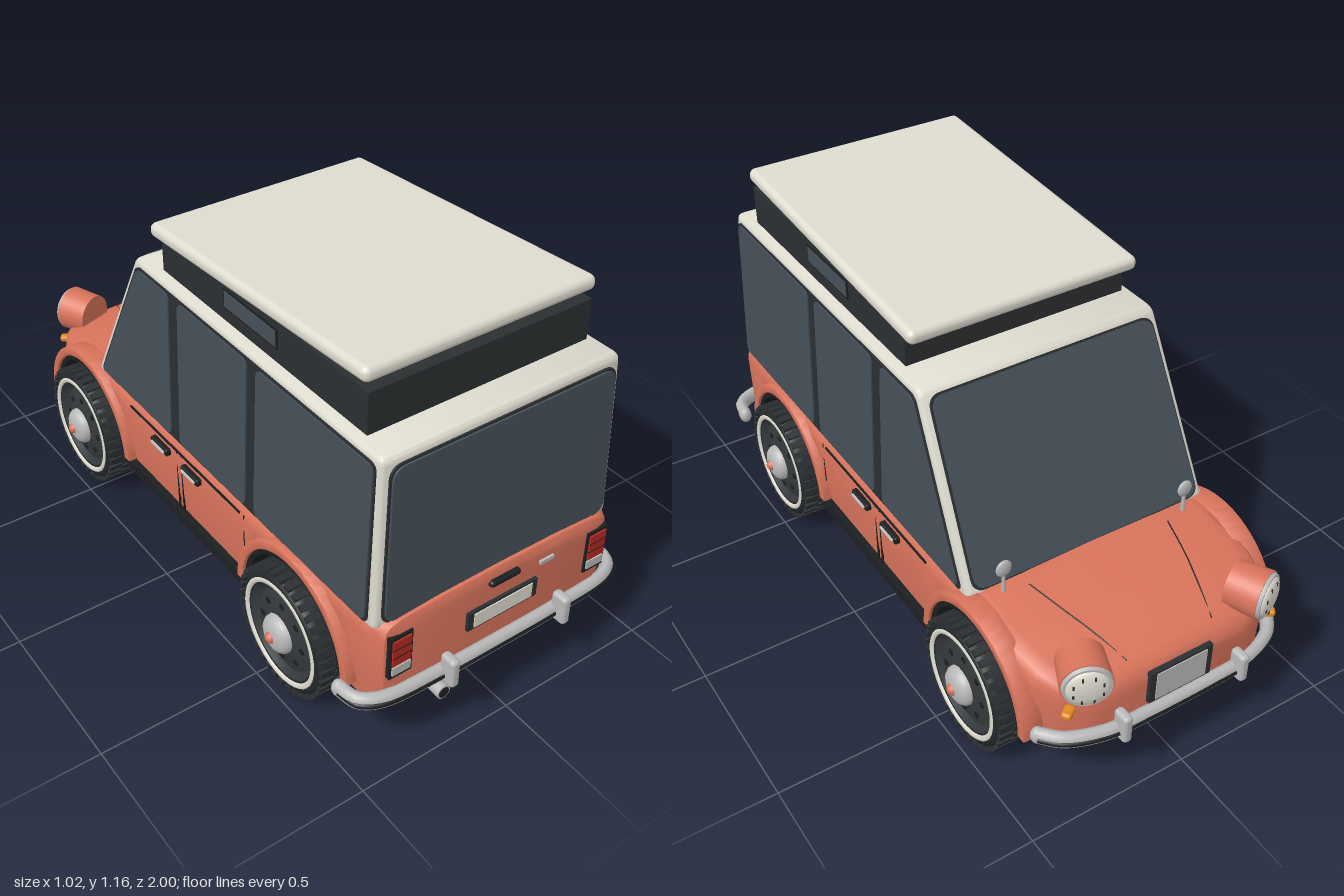
import * as THREE from 'three';
import { toCreasedNormals } from 'three/addons/utils/BufferGeometryUtils.js';
import { RoundedBoxGeometry } from 'three/addons/geometries/RoundedBoxGeometry.js';

const mat = (color, side = THREE.FrontSide) => new THREE.MeshStandardMaterial({ color, side });
const orange = mat(0xd8735b), cream = mat(0xdedbcf), dark = mat(0x2b2f31), black = mat(0x1c1f20);
const glass = mat(0x465058), chrome = mat(0xb9b9b9), red = mat(0xb52a22), amber = mat(0xe08a20);

const WHEELS = [0.57, -0.59], AXLE_Y = 0.2, ARCH_R = 0.228;

// Body stations: z, half width, top y, bottom y
const STATIONS = [
  [0.935, 0.36, 0.455, 0.2], [0.925, 0.39, 0.475, 0.175], [0.89, 0.41, 0.48, 0.16], [0.5, 0.416, 0.465, 0.16],
  [-0.45, 0.416, 0.465, 0.16], [-0.55, 0.415, 0.463, 0.16], [-0.72, 0.41, 0.442, 0.16], [-0.82, 0.39, 0.42, 0.165],
  [-0.88, 0.355, 0.402, 0.175], [-0.925, 0.3, 0.38, 0.19], [-0.945, 0.24, 0.35, 0.215],
];

function station(z) {
  let i = 0;
  while (i < STATIONS.length - 2 && z < STATIONS[i + 1][0]) i++;
  const [a, b] = [STATIONS[i], STATIONS[i + 1]];
  const t = THREE.MathUtils.clamp((a[0] - z) / (a[0] - b[0]), 0, 1);
  const [w, top, bot] = [1, 2, 3].map(k => a[k] + (b[k] - a[k]) * t);
  let low = bot;
  for (const c of WHEELS) {
    const d = Math.abs(z - c);
    if (d < ARCH_R) low = Math.max(low, AXLE_Y + Math.sqrt(ARCH_R ** 2 - d * d));
  }
  return { z, w, top, bot, low };
}

// Joins rings of [x, y, z] points into one surface
function loft(rings) {
  const n = rings[0].length, idx = [];
  for (let i = 0; i < rings.length - 1; i++) for (let j = 0; j < n - 1; j++) {
    const a = i * n + j, b = a + n;
    idx.push(a, b, a + 1, b, b + 1, a + 1);
  }
  const g = new THREE.BufferGeometry();
  g.setAttribute('position', new THREE.Float32BufferAttribute(rings.flat(2), 3));
  g.setIndex(idx);
  return toCreasedNormals(g, 0.7);
}

function roundedShape(pts, r) {
  const s = new THREE.Shape(), v = pts.map(p => new THREE.Vector2(...p));
  v.forEach((p, i) => {
    const toward = q => p.clone().add(q.clone().sub(p).setLength(r));
    const a = toward(v[(i + v.length - 1) % v.length]), b = toward(v[(i + 1) % v.length]);
    i ? s.lineTo(a.x, a.y) : s.moveTo(a.x, a.y);
    s.quadraticCurveTo(p.x, p.y, b.x, b.y);
  });
  s.closePath();
  return s;
}

export function createModel() {
  const car = new THREE.Group();
  car.name = 'camperCar';
  const add = (name, geo, material, x = 0, y = 0, z = 0, parent = car) => {
    const m = new THREE.Mesh(geo, material);
    m.name = name;
    m.position.set(x, y, z);
    parent.add(m);
    return m;
  };
  const box = (name, material, w, h, d, x, y, z, parent) => add(name, new THREE.BoxGeometry(w, h, d), material, x, y, z, parent);
  const rbox = (name, material, w, h, d, x, y, z, r = 0.006) => add(name, new RoundedBoxGeometry(w, h, d, 3, r), material, x, y, z);
  const tube = (name, material, pts, r, seg = 40) => add(name,
    new THREE.TubeGeometry(new THREE.CatmullRomCurve3(pts.map(p => new THREE.Vector3(...p))), seg, r, 10), material);

  // Lower body shell, with floor and wheel wells
  const zs = STATIONS.map(s => s[0]);
  for (let z = -0.9; z < 0.9; z += 0.06) zs.push(z);
  for (const c of WHEELS) {
    zs.push(c - ARCH_R - 0.001, c + ARCH_R + 0.001);
    for (let k = 0; k <= 24; k++) zs.push(c + (ARCH_R - 0.0005) * Math.cos(Math.PI * k / 24));
  }
  const rows = [...new Set(zs)].sort((a, b) => b - a).map(station);
  const shell = rows.map(({ z, w, top, low }) => {
    const shoulder = Math.max(top - 0.065, low + 0.002);
    const half = [[0.96 * w, low], [0.99 * w, low + (shoulder - low) * 0.4], [w, shoulder],
      [0.985 * w, top - 0.032], [0.95 * w, top - 0.018], [0.85 * w, top - 0.009], [0.5 * w, top - 0.002]];
    const right = half.map(([x, y]) => [x, y, z]);
    return [...right, [0, top, z], ...right.map(([x, y]) => [-x, y, z]).reverse()];
  });
  const flat = ring => ring.map(([, y, z]) => [0, y, z]);
  add('bodyShell', loft([flat(shell[0]), ...shell, flat(shell.at(-1))]), orange);
  add('floorAndWheelWells', loft(rows.map(({ z, w, bot, low }) => {
    const i = Math.min(0.3, w * 0.9);
    return [[-0.96 * w, low, z], [-i, low, z], [-i, bot, z], [i, bot, z], [i, low, z], [0.96 * w, low, z]];
  })), black);

  // Cabin: side profile pushed across the width, leaning inwards towards the roof
  const lean = (g) => {
    const p = g.attributes.position;
    for (let i = 0; i < p.count; i++) p.setX(i, p.getX(i) - Math.sign(p.getX(i)) * (p.getY(i) - 0.45) * 0.036);
    return g;
  };
  const cabin = new THREE.ExtrudeGeometry(roundedShape([[-0.905, 0.44], [0.54, 0.44], [0.265, 0.972], [-0.888, 0.972]], 0.025),
    { depth: 0.78, bevelSize: 0.018, bevelOffset: -0.018, bevelThickness: 0.018, bevelSegments: 4, curveSegments: 6 });
  cabin.translate(0, 0, -0.39).rotateY(Math.PI / 2);
  add('cabin', toCreasedNormals(lean(cabin), 0.6), cream);

  // Side windows over a dark gasket panel
  const sidePane = (name, pts, x, material) => {
    const g = new THREE.ExtrudeGeometry(roundedShape(pts.map(([z, y]) => [-z, y]), 0.025), { depth: 0.012, bevelEnabled: false });
    lean(g.rotateY(Math.PI / 2).translate(x, 0, 0));
    for (const s of [1, -1]) add(name, g, material).scale.x = s;
  };
  sidePane('sideGasket', [[0.878, 0.455], [-0.505, 0.455], [-0.252, 0.949], [0.868, 0.949]], 0.4, dark);
  sidePane('rearSideWindow', [[0.871, 0.462], [0.372, 0.462], [0.372, 0.942], [0.862, 0.942]], 0.404, glass);
  sidePane('middleSideWindow', [[0.328, 0.462], [-0.02, 0.462], [-0.02, 0.942], [0.328, 0.942]], 0.404, glass);
  sidePane('frontSideWindow', [[-0.07, 0.462], [-0.492, 0.462], [-0.246, 0.942], [-0.07, 0.942]], 0.404, glass);

  // Windscreen and rear window, each with a gasket
  const endPane = (name, wBottom, wTop, h, y, z, tilt, out) => {
    for (const [grow, thick, material, label] of [[0.006, 0.008, dark, 'Gasket'], [0, 0.014, glass, 'Glass']]) {
      const a = wBottom + grow, b = wTop + grow;
      const g = new THREE.ExtrudeGeometry(roundedShape([[-a, -grow], [a, -grow], [b, h + grow], [-b, h + grow]], 0.04),
        { depth: thick, bevelEnabled: false });
      add(name + label, g.translate(0, 0, out > 0 ? 0 : -thick), material, 0, y, z).rotation.x = tilt;
    }
  };
  endPane('windscreen', 0.382, 0.362, 0.545, 0.462, -0.526, Math.atan2(0.275, 0.532), -1);
  endPane('rearWindow', 0.382, 0.364, 0.475, 0.465, 0.902, -0.032, 1);

  // Pop-up roof
  box('roofCanvas', dark, 0.72, 0.13, 0.94, 0, 1.03, 0.32);
  for (const s of [1, -1]) {
    box('canvasWindowFrame', black, 0.006, 0.06, 0.25, s * 0.36, 1.043, 0.295);
    box('canvasWindow', glass, 0.01, 0.048, 0.236, s * 0.36, 1.043, 0.295);
  }
  rbox('roofLid', cream, 0.745, 0.045, 0.995, 0, 1.112, 0.295, 0.02).rotation.x = -0.058;

  // Wheels, built with the axle along x and the outer side at +x
  const lathe = (pts, seg = 40) => new THREE.LatheGeometry(pts.map(p => new THREE.Vector2(...p)), seg).rotateZ(-Math.PI / 2);
  const tyre = lathe([[0.1, -0.07], [0.165, -0.072], [0.185, -0.062], [0.193, -0.045], [0.193, 0.045], [0.185, 0.062], [0.168, 0.071], [0.145, 0.066]]);
  const whiteRing = lathe([[0.15, 0.066], [0.153, 0.073], [0.163, 0.074], [0.168, 0.069]]);
  const disc = lathe([[0.0001, -0.045], [0.09, -0.045], [0.1, -0.07]]).toNonIndexed();
  const rim = lathe([[0.151, 0.066], [0.142, 0.066], [0.132, 0.05], [0.12, 0.05], [0.11, 0.058], [0.075, 0.06], [0.06, 0.068], [0.0001, 0.068]]);
  const cap = lathe([[0.06, 0.066], [0.058, 0.08], [0.048, 0.092], [0.03, 0.1], [0.0001, 0.102]], 24);
  disc.computeVertexNormals();
  const discMat = mat(0x2b2f31, THREE.DoubleSide), rimMat = mat(0x34393b, THREE.DoubleSide);
  const wheelSide = mat(0x25292b, THREE.DoubleSide), ringMat = mat(0xdedbcf, THREE.DoubleSide), capMat = mat(0xb9b9b9, THREE.DoubleSide);
  const treadBlock = new THREE.BoxGeometry(0.044, 0.012, 0.02);
  for (const z of WHEELS) for (const s of [1, -1]) {
    const w = new THREE.Group();
    w.name = 'wheel';
    w.position.set(s * 0.398, AXLE_Y, z);
    w.scale.x = s;
    car.add(w);
    for (const [name, g, m] of [['tyre', tyre, wheelSide], ['whiteRing', whiteRing, ringMat], ['innerDisc', disc, discMat], ['rim', rim, rimMat], ['hubCap', cap, capMat]])
      add(name, g, m, 0, 0, 0, w);
    add('hubNub', new THREE.SphereGeometry(0.018, 16, 10), orange, 0.096, 0, 0, w);
    for (let k = 0; k < 8; k++) {
      const a = k * Math.PI / 4;
      add('rimHole', new THREE.CylinderGeometry(0.01, 0.01, 0.006, 10), black, 0.059, 0.093 * Math.cos(a), 0.093 * Math.sin(a), w).rotation.z = Math.PI / 2;
    }
    for (let k = 0; k < 36; k++) for (let j = -1; j <= 1; j++) {
      const a = (k + (j ? 0 : 0.5)) * Math.PI / 18;
      add('treadBlock', treadBlock, dark, j * 0.047, 0.193 * Math.cos(a), 0.193 * Math.sin(a), w).rotation.x = a;
    }
  }

  // Wheel arch lips
  const arc = (r0, r1, depth) => {
    const s = new THREE.Shape();
    s.absarc(0, 0, r1, 0, Math.PI);
    s.absarc(0, 0, r0, Math.PI, 0, true);
    return toCreasedNormals(new THREE.ExtrudeGeometry(s, { depth, bevelSize: 0.005, bevelThickness: 0.008, bevelOffset: -0.005, bevelSegments: 3, curveSegments: 28 }).rotateY(Math.PI / 2), 0.6);
  };
  const lip = arc(0.232, 0.262, 0.05), liner = arc(0.212, 0.236, 0.1);

  for (const s of [1, -1]) {
    for (const z of WHEELS) {
      add('archLip', lip, orange, s * 0.378, AXLE_Y, z).scale.x = s;
      add('archLiner', liner, black, s * 0.32, AXLE_Y, z).scale.x = s;
    }
    // Sills, door gaps, waistline and handles
    box('sill', black, 0.05, 0.035, 0.7, s * 0.4, 0.178, -0.01);
    box('waistline', black, 0.006, 0.006, 0.62, s * 0.414, 0.418, -0.01);
    for (const z of [0.32, -0.02, -0.045]) box('doorGap', black, 0.006, 0.22, 0.004, s * 0.412, 0.31, z);
    for (const z of [0.05, -0.125]) {
      rbox('doorHandle', black, 0.03, 0.024, 0.095, s * 0.418, 0.39, z);
      rbox('doorHandleGrip', chrome, 0.012, 0.01, 0.075, s * 0.433, 0.39, z, 0.004);
    }
    // Bonnet crease
    tube('bonnetLine', black, [-0.58, -0.7, -0.8, -0.9].map((z, i) => [s * (0.24 - i * 0.032), station(z).top - 0.001, z]), 0.002, 16);
    // Headlamp pods, turned slightly outwards
    const lamp = new THREE.Group();
    lamp.name = 'headlamp';
    lamp.position.set(s * 0.282, 0.425, -0.895);
    lamp.rotation.y = Math.PI - s * 0.42;
    car.add(lamp);
    const part = (name, r0, r1, len, z, m) => add(name, new THREE.CylinderGeometry(r0, r1, len, 32).rotateX(Math.PI / 2), m, 0, 0, z, lamp);
    part('pod', 0.073, 0.068, 0.1, -0.004, orange);
    part('lampRim', 0.066, 0.07, 0.012, 0.05, chrome);
    add('lens', new THREE.SphereGeometry(0.06, 24, 12).scale(1, 1, 0.3), cream, 0, 0, 0.054, lamp);
    for (let k = 0; k < 8; k++)
      box('lensMark', dark, 0.005, 0.012, 0.004, 0.043 * Math.cos(k * Math.PI / 4 + 0.4), 0.043 * Math.sin(k * Math.PI / 4 + 0.4), 0.066, lamp);
    rbox('indicator', amber, 0.045, 0.022, 0.03, s * 0.34, 0.325, -0.915, 0.009).rotation.y = s * 0.6;
    // Wing mirrors
    add('mirrorStem', new THREE.CylinderGeometry(0.005, 0.007, 0.08, 10), chrome, s * 0.31, 0.49, -0.56);
    add('mirror', new THREE.SphereGeometry(0.025, 18, 12).scale(1, 1.1, 0.4), chrome, s * 0.31, 0.535, -0.56);
    // Tail lamps
    box('tailLampFrame', black, 0.074, 0.142, 0.03, s * 0.345, 0.36, 0.926);
    box('tailLampRed', red, 0.06, 0.085, 0.03, s * 0.345, 0.378, 0.931);
    box('tailLampClear', chrome, 0.06, 0.028, 0.03, s * 0.345, 0.316, 0.931);
    for (const y of [0.364, 0.392]) box('tailLampRib', black, 0.06, 0.003, 0.03, s * 0.345, y, 0.9315);
    // Overriders
    for (const z of [0.972, -0.972]) rbox('overrider', chrome, 0.03, 0.095, 0.055, s * 0.2, 0.245, z, 0.012);
  }

  // Bumpers with a rubber strip
  const bumper = (name, half) => {
    const pts = [...half, ...half.slice(0, -1).reverse().map(([x, z]) => [-x, z])];
    const bar = tube(name, chrome, pts.map(([x, z]) => [x, 0, z]), 0.02, 70);
    bar.position.y = 0.225;
    bar.scale.y = 1.35;
    tube(name + 'Strip', black, pts.map(([x, z]) => [x * 1.022, 0.225, z + Math.sign(z) * 0.014]), 0.009, 70);
    for (const [x, z] of [pts[0], pts.at(-1)]) add(name + 'End', new THREE.SphereGeometry(0.02, 14, 10).scale(1, 1.35, 1), chrome, x, 0.225, z);
  };
  bumper('rearBumper', [[0.465, 0.84], [0.452, 0.9], [0.4, 0.935], [0.2, 0.95], [0, 0.952]]);
  bumper('frontBumper', [[0.4, -0.865], [0.35, -0.915], [0.24, -0.955], [0.1, -0.962], [0, -0.963]]);

  // Plates, tailgate details and exhaust
  for (const [name, z, w, h, y] of [['rear', 0.937, 0.245, 0.062, 0.344], ['front', -0.95, 0.21, 0.11, 0.31]]) {
    box(name + 'PlateFrame', dark, w, h, 0.016, 0, y, z);
    box(name + 'Plate', name === 'rear' ? cream : chrome, w - 0.04, h - 0.014, 0.022, 0, y, z);
  }
  rbox('tailgateHandle', black, 0.105, 0.02, 0.03, 0, 0.44, 0.935, 0.009);
  box('tailgateTrim', chrome, 0.05, 0.012, 0.012, 0.155, 0.42, 0.936);
  box('rearLowerTray', black, 0.62, 0.02, 0.1, 0, 0.16, 0.83);
  add('exhaust', new THREE.CylinderGeometry(0.022, 0.022, 0.1, 20).rotateX(Math.PI / 2), chrome, -0.203, 0.148, 0.91);
  add('exhaustBore', new THREE.CylinderGeometry(0.017, 0.017, 0.002, 20).rotateX(Math.PI / 2), black, -0.203, 0.148, 0.9605);
  return car;
}
